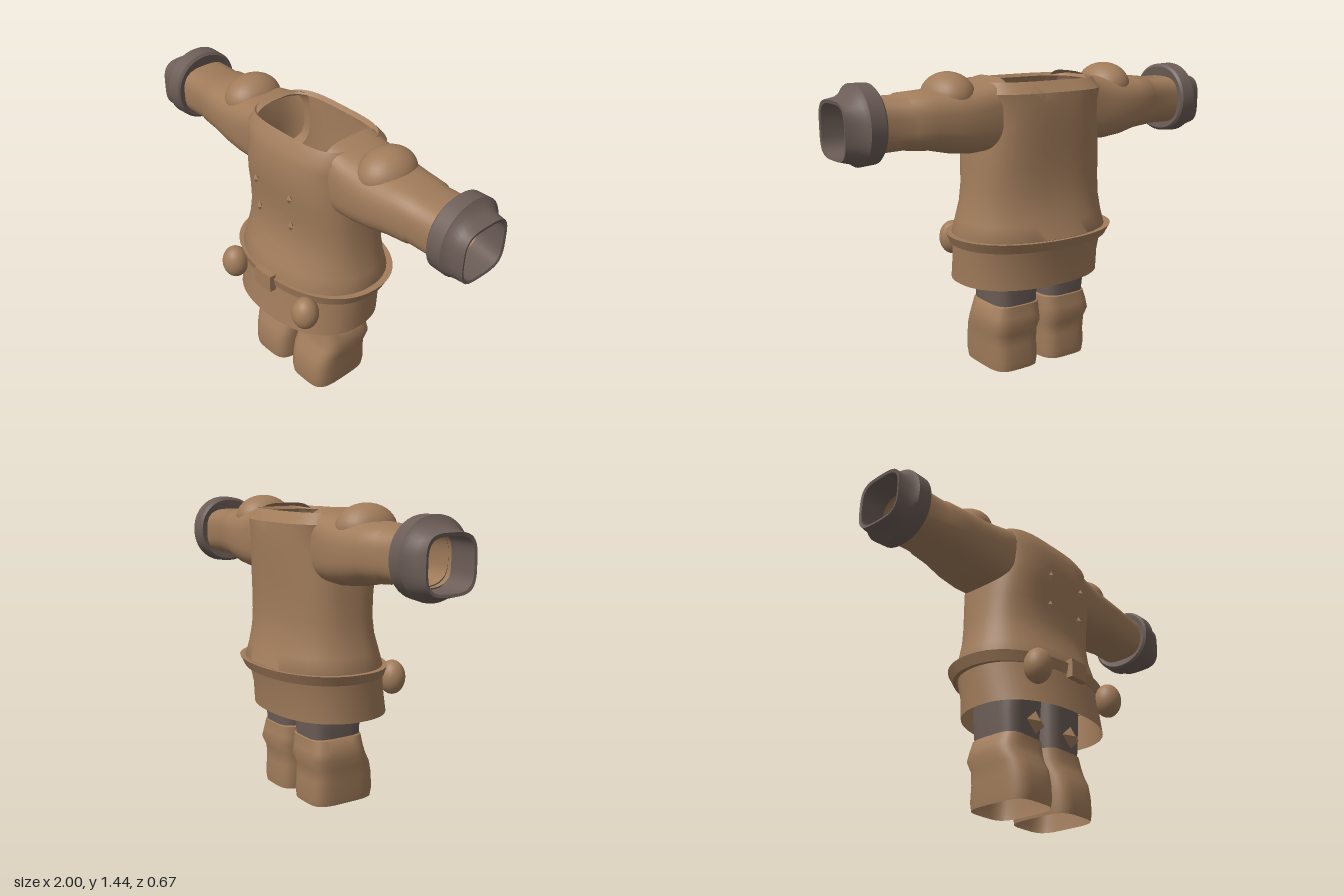
import * as THREE from 'three';
import { toCreasedNormals } from 'three/addons/utils/BufferGeometryUtils.js';

const cloth = new THREE.MeshStandardMaterial({ name: 'brown cloth', color: 0xa17c5b, side: THREE.DoubleSide });
const trim = new THREE.MeshStandardMaterial({ name: 'dark trim', color: 0x6c5d57, side: THREE.DoubleSide });

// Open tube through rounded cross-sections.
// Section: [position, aMin, aMax, zMin, zMax, squareness]; a is x on a 'y' axis tube, y on an 'x' axis tube.
function loft(axis, sections, sign = 1, sides = 40) {
  const pos = [], index = [];
  const bend = (v, n) => Math.sign(v) * Math.abs(v) ** (2 / n);
  sections.forEach(([p, a0, a1, z0, z1, n], s) => {
    for (let i = 0; i < sides; i++) {
      const t = (i / sides) * Math.PI * 2;
      const a = (a0 + a1) / 2 + ((a1 - a0) / 2) * bend(Math.cos(t), n);
      const z = (z0 + z1) / 2 + ((z1 - z0) / 2) * bend(Math.sin(t), n);
      if (axis === 'y') pos.push(a * sign, p, z);
      else pos.push(p * sign, a, z);
      if (s === 0) continue;
      const j = (i + 1) % sides, lo = (s - 1) * sides, hi = s * sides;
      const flip = (axis === 'x') !== (sign < 0);
      const quad = [lo + i, hi + i, hi + j, lo + i, hi + j, lo + j];
      if (flip) quad.reverse();
      index.push(...quad);
    }
  });
  const g = new THREE.BufferGeometry();
  g.setAttribute('position', new THREE.Float32BufferAttribute(pos, 3));
  g.setIndex(index);
  return toCreasedNormals(g, 0.7);
}

export function createModel() {
  const model = new THREE.Group();
  model.name = 'outfit';
  const add = (name, geometry, material, x = 0, y = 0, z = 0) => {
    const m = new THREE.Mesh(geometry, material);
    m.name = name;
    m.position.set(x, y, z);
    model.add(m);
    return m;
  };
  const sym = (y, w, z0, z1, n) => [y, -w, w, z0, z1, n];

  // Coat body, open at the neck
  add('coatBody', loft('y', [
    sym(0.62, 0.385, -0.29, 0.27, 2.2),
    sym(0.67, 0.395, -0.31, 0.27, 2.2),
    sym(0.74, 0.375, -0.285, 0.245, 2.3),
    sym(0.82, 0.355, -0.262, 0.212, 2.5),
    sym(0.9, 0.345, -0.252, 0.195, 2.7),
    sym(1.0, 0.338, -0.25, 0.195, 2.9),
    sym(1.1, 0.332, -0.254, 0.207, 3),
    sym(1.2, 0.322, -0.259, 0.215, 3),
    sym(1.29, 0.32, -0.261, 0.205, 3),
    sym(1.34, 0.328, -0.258, 0.19, 3.2),
    sym(1.39, 0.295, -0.21, 0.155, 3.6),
    sym(1.375, 0.285, -0.19, 0.14, 3.6),
  ], 1, 56), cloth);

  // Skirt and flared belt
  add('skirt', loft('y', [
    sym(0.43, 0.375, -0.26, 0.295, 2.3),
    sym(0.53, 0.379, -0.268, 0.282, 2.2),
    sym(0.63, 0.386, -0.29, 0.27, 2.2),
  ], 1, 56), cloth);
  add('belt', loft('y', [
    sym(0.622, 0.38, -0.28, 0.26, 2.2),
    sym(0.622, 0.405, -0.31, 0.275, 2.2),
    sym(0.67, 0.428, -0.333, 0.285, 2.2),
    sym(0.668, 0.392, -0.3, 0.26, 2.2),
  ], 1, 56), cloth);
  add('buckle', new THREE.BoxGeometry(0.11, 0.09, 0.035), cloth, -0.003, 0.645, 0.288);

  for (const s of [1, -1]) {
    const side = s > 0 ? 'left' : 'right';

    // Sleeve with a small fold, shoulder dome and cuff
    add(side + 'Sleeve', loft('x', [
      [0.23, 1.1, 1.41, -0.2, 0.145, 3.6],
      [0.3, 1.08, 1.392, -0.2, 0.145, 3.3],
      [0.38, 1.073, 1.38, -0.202, 0.143, 2.9],
      [0.48, 1.082, 1.372, -0.2, 0.14, 2.7],
      [0.58, 1.104, 1.365, -0.185, 0.13, 2.7],
      [0.68, 1.112, 1.36, -0.172, 0.118, 2.8],
      [0.69, 1.118, 1.352, -0.166, 0.112, 2.8],
      [0.86, 1.115, 1.352, -0.165, 0.105, 3],
    ], s), cloth);
    add(side + 'Shoulder', new THREE.SphereGeometry(1, 28, 18), cloth, s * 0.45, 1.33, -0.03)
      .scale.set(0.118, 0.11, 0.145);
    add(side + 'Cuff', loft('x', [
      [0.835, 1.12, 1.35, -0.165, 0.105, 2.8],
      [0.83, 1.08, 1.4, -0.195, 0.135, 2.1],
      [0.84, 1.068, 1.413, -0.205, 0.147, 2.1],
      [0.91, 1.063, 1.415, -0.207, 0.148, 2.1],
      [0.925, 1.075, 1.385, -0.185, 0.13, 2.4],
      [0.955, 1.085, 1.362, -0.162, 0.117, 2.8],
      [1.0, 1.098, 1.35, -0.148, 0.112, 3.5],
      [0.997, 1.11, 1.335, -0.135, 0.1, 3.5],
      [0.86, 1.11, 1.345, -0.155, 0.1, 3.2],
    ], s), trim);

    // Trouser leg and open boot
    add(side + 'TrouserLeg', loft('y', [
      [0.29, 0.025, 0.255, -0.155, 0.112, 4],
      [0.43, 0.02, 0.265, -0.165, 0.115, 4],
      [0.62, 0.015, 0.265, -0.175, 0.125, 4],
    ], s), trim);
    add(side + 'Boot', loft('y', [
      [0, 0.02, 0.27, -0.16, 0.178, 4],
      [0.04, 0.015, 0.275, -0.165, 0.184, 4],
      [0.12, 0.015, 0.277, -0.158, 0.178, 4],
      [0.18, 0.012, 0.282, -0.157, 0.163, 4],
      [0.23, 0.008, 0.29, -0.178, 0.135, 4],
      [0.27, 0.008, 0.285, -0.168, 0.122, 4],
      [0.325, 0.012, 0.266, -0.163, 0.118, 4],
      [0.33, 0.022, 0.258, -0.155, 0.11, 4],
    ], s), cloth);

    // Belt pouch
    add(side + 'Pouch', new THREE.SphereGeometry(1, 28, 18), cloth, s * 0.262, 0.588, 0.27)
      .scale.set(0.066, 0.084, 0.065);

    // Pointed tassel under the skirt
    add(side + 'Tassel', new THREE.OctahedronGeometry(1), cloth, s * 0.128, 0.39, 0.142)
      .scale.set(0.062, 0.056, 0.028);

    // Diamond buttons
    for (const [x, y, z] of [[0.115, 1.135, 0.232], [0.11, 0.98, 0.221]])
      add(side + 'Button', new THREE.OctahedronGeometry(1), cloth, s * x, y, z)
        .scale.set(0.017, 0.026, 0.014);
  }
  return model;
}
